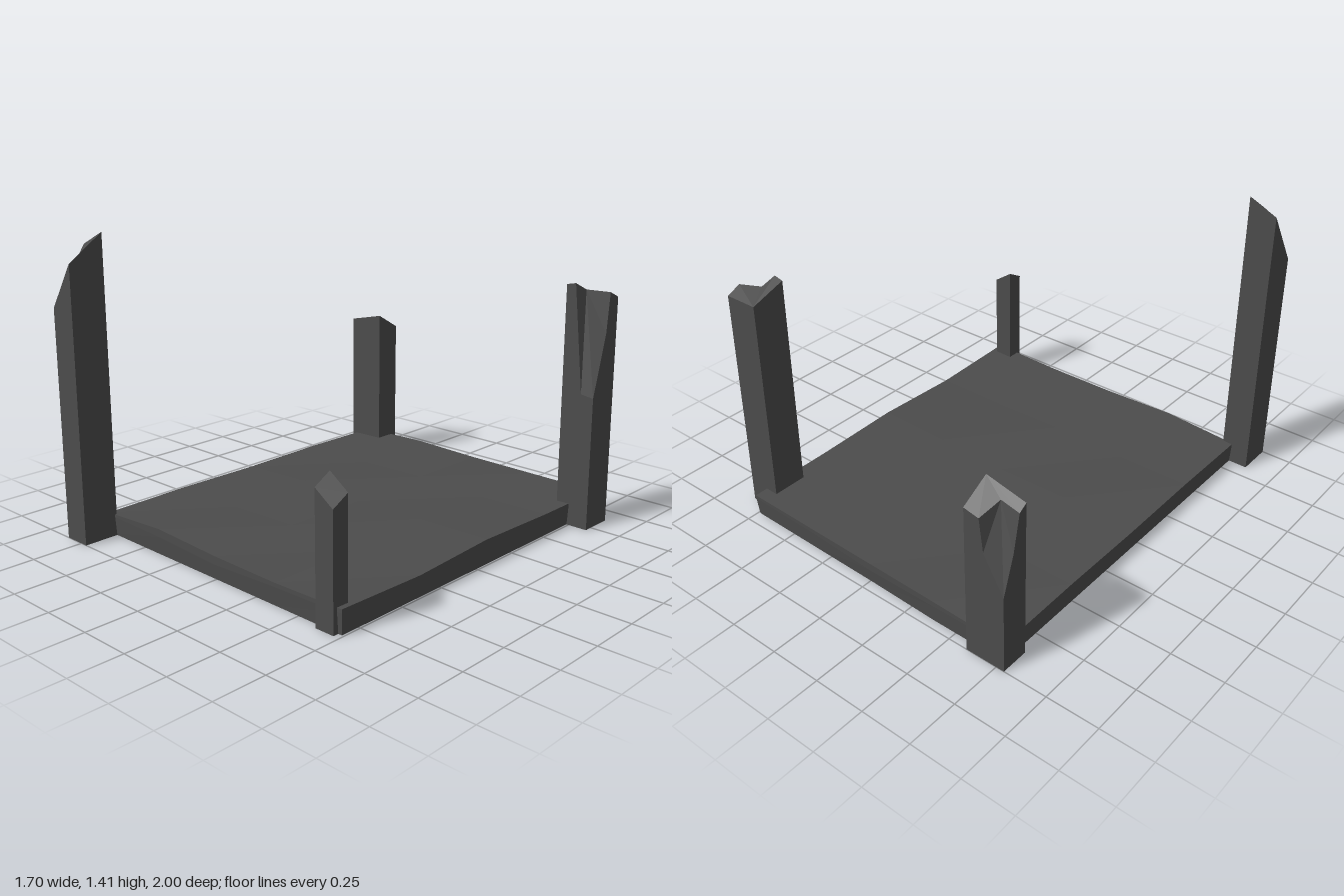
import * as THREE from 'three';

const material = new THREE.MeshStandardMaterial({ color: 0x4c4c4c, flatShading: true });

// Flat-sided solid from polygons, each fanned from its first corner
function solid(points, faces) {
  const pos = [];
  for (const face of faces) {
    const v = face.trim().split(' ').map((key) => points[key]);
    for (let i = 1; i < v.length - 1; i++) pos.push(...v[0], ...v[i], ...v[i + 1]);
  }
  const g = new THREE.BufferGeometry();
  g.setAttribute('position', new THREE.Float32BufferAttribute(pos, 3));
  g.computeVertexNormals();
  return g;
}

// Square post cut off at a slant: top(x, z) gives the height, x and z being 0 or 1
function slantedPost(x0, x1, z0, z1, heights) {
  const g = new THREE.BoxGeometry(1, 1, 1).toNonIndexed();
  const p = g.attributes.position;
  for (let i = 0; i < p.count; i++) {
    const right = p.getX(i) > 0 ? 1 : 0;
    const front = p.getZ(i) > 0 ? 1 : 0;
    const y = p.getY(i) > 0 ? heights[front][right] : 0;
    p.setXYZ(i, right ? x1 : x0, y, front ? z1 : z0);
  }
  g.computeVertexNormals();
  return g;
}

// Broken post. n is the chipped corner, l its neighbour along x, r along z, f opposite.
// a and d end the break on the rim, c is its inner corner, e and g lie on the side faces.
function brokenPost([nx, nz], [fx, fz], { n, l, r, f, a, c, d, e, g }) {
  const points = {
    n0: [nx, 0, nz], l0: [fx, 0, nz], r0: [nx, 0, fz], f0: [fx, 0, fz],
    n: [nx, n, nz], l: [fx, l, nz], r: [nx, r, fz], f: [fx, f, fz],
    a, c, d, e, g,
  };
  return solid(points, [
    'l0 n0 n e a l', 'r0 r d g n n0', 'r0 f0 f r', 'f0 l0 l f',
    'l0 f0 r0 n0', 'f l a c d r',
    'c a e', 'c e n', 'c n g', 'c g d',
  ]);
}

// Worn floor slab: uneven top, rim slightly overhanging the lower sides
function slab() {
  const heights = [
    [0.10, 0.11, 0.105, 0.105, 0.105],
    [0.105, 0.10, 0.11, 0.10, 0.108],
    [0.10, 0.115, 0.105, 0.112, 0.12],
    [0.105, 0.10, 0.112, 0.10, 0.10],
    [0.10, 0.123, 0.108, 0.104, 0.113],
  ];
  const waist = [0.09, 0.085, 0.068, 0.085, 0.095];
  const geo = new THREE.BoxGeometry(4, 2, 4, 4, 2, 4).toNonIndexed();
  const p = geo.attributes.position;
  for (let i = 0; i < p.count; i++) {
    const ix = Math.round(p.getX(i)) + 2;
    const iz = Math.round(p.getZ(i)) + 2;
    const level = Math.round(p.getY(i)) + 1;
    let x = -0.762 + ix * 0.377;
    let z = -0.962 + iz * 0.449;
    if (iz === 0) z += ix > 1 ? 0.006 * (ix - 1) : -0.004;
    if (iz === 4) z += 0.004 * ix;
    if (level === 0) {
      x *= 0.992;
      z *= 0.992;
    }
    const low = Math.min(waist[ix], waist[iz]);
    const y = level === 2 ? heights[iz][ix] : level === 1 ? low : 0;
    p.setXYZ(i, x, y, z);
  }
  geo.computeVertexNormals();
  return geo;
}

export function createModel() {
  const group = new THREE.Group();
  const add = (name, geometry) => {
    const mesh = new THREE.Mesh(geometry, material);
    mesh.name = name;
    group.add(mesh);
  };

  add('floorSlab', slab());

  // Heights listed as back pair, then front pair, from -x to +x
  add('tallFrontPost', slantedPost(-0.85, -0.713, 0.825, 1, [[1.345, 1.41], [1.08, 1.29]]));
  add('shortFrontPost', slantedPost(0.625, 0.72, 0.787, 0.87, [[0.625, 0.56], [0.58, 0.515]]));

  add('rightBackPost', brokenPost([-0.79, -1], [-0.595, -0.865], {
    n: 0.38, l: 0.72, r: 0.755, f: 0.798,
    a: [-0.67, 0.705, -1], c: [-0.70, 0.75, -0.905], d: [-0.79, 0.73, -0.905],
    e: [-0.69, 0.55, -1], g: [-0.79, 0.56, -0.94],
  }));
  add('leftBackPost', brokenPost([0.847, -0.708], [0.68, -0.877], {
    n: 0.64, l: 1.15, r: 1.09, f: 1.09,
    a: [0.727, 1.16, -0.708], c: [0.745, 1.125, -0.77], d: [0.847, 1.12, -0.81],
    e: [0.782, 0.65, -0.708], g: [0.847, 0.93, -0.79],
  }));
  return group;
}
